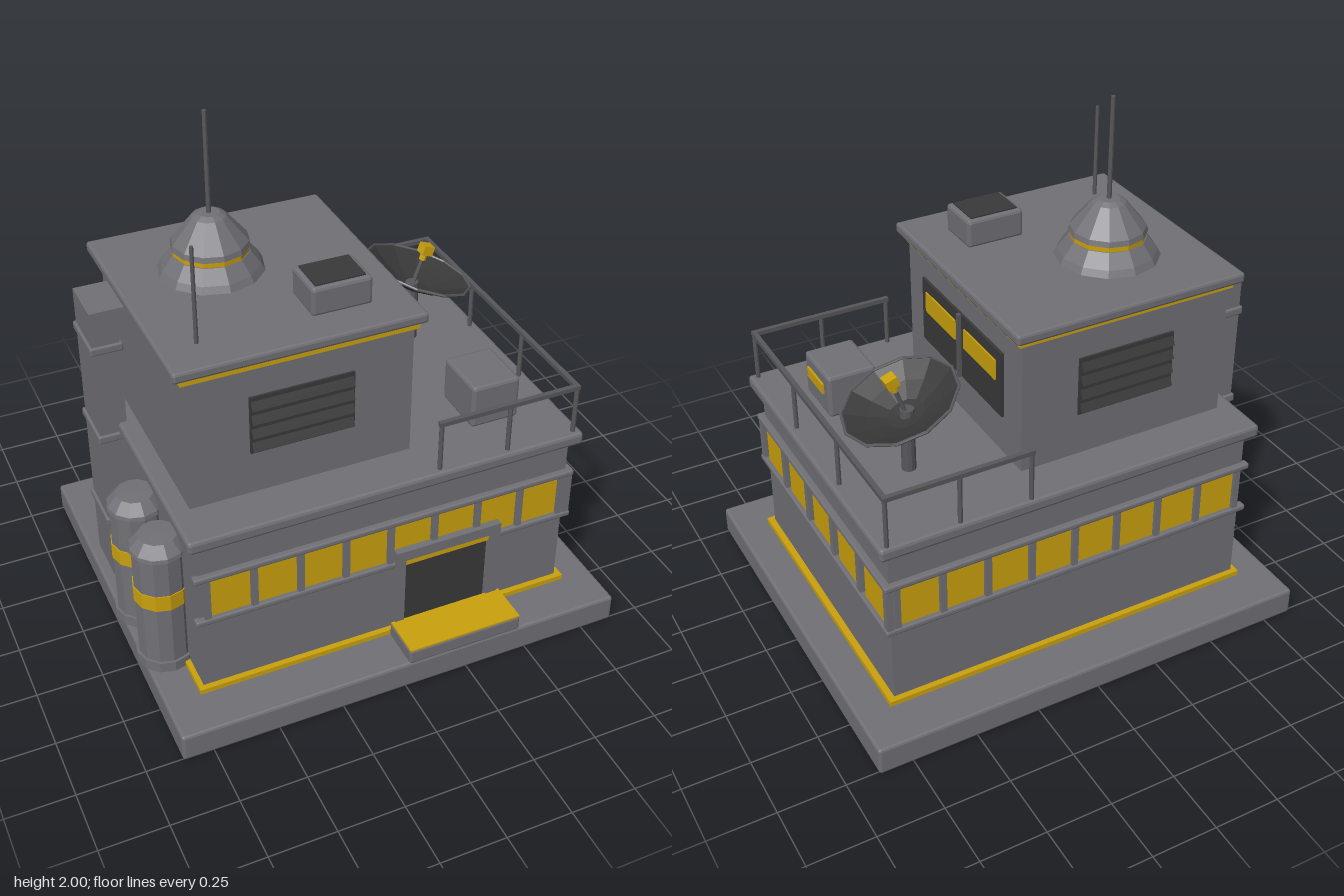
import * as THREE from 'three';
import { RoundedBoxGeometry } from 'three/addons/geometries/RoundedBoxGeometry.js';

const material = (name, color, extra = {}) => {
  const m = new THREE.MeshStandardMaterial({ color, ...extra });
  m.name = name;
  return m;
};

export function createModel() {
  const root = new THREE.Group();
  root.name = 'outpostBuilding';
  const grey = material('concreteGrey', 0x717076, { flatShading: true });
  const metal = material('metalGrey', 0x58585c, { flatShading: true });
  const dark = material('darkPanel', 0x393939, { flatShading: true, side: THREE.DoubleSide });
  const yellow = material('safetyYellow', 0xcaa10d, { flatShading: true });

  const add = (name, geo, mat, x = 0, y = 0, z = 0, parent = root) => {
    const mesh = new THREE.Mesh(geo, mat);
    mesh.name = name;
    mesh.position.set(x, y, z);
    parent.add(mesh);
    return mesh;
  };
  // Box given by its limits, with an optional rounded edge
  const box = (name, mat, x0, x1, y0, y1, z0, z1, r = 0) => {
    const s = [x1 - x0, y1 - y0, z1 - z0];
    const geo = r ? new RoundedBoxGeometry(...s, 1, r) : new THREE.BoxGeometry(...s);
    return add(name, geo, mat, (x0 + x1) / 2, (y0 + y1) / 2, (z0 + z1) / 2);
  };
  const cyl = (name, mat, x, z, y0, y1, r0, r1 = r0, n = 12) =>
    add(name, new THREE.CylinderGeometry(r1, r0, y1 - y0, n), mat, x, (y0 + y1) / 2, z);
  const lathe = (pts, n = 12) => new THREE.LatheGeometry(pts.map(p => new THREE.Vector2(...p)), n);

  // Ground slab, lower storey and terrace
  box('groundSlab', grey, -0.865, 0.88, 0, 0.11, -0.765, 0.76, 0.01);
  box('lowerStorey', grey, -0.715, 0.73, 0.1, 0.78, -0.57, 0.57);
  box('lowerTrim', yellow, -0.735, 0.755, 0.11, 0.13, -0.592, 0.592);
  box('terraceSlab', grey, -0.752, 0.77, 0.77, 0.82, -0.607, 0.605, 0.012);

  // Window bands on the front and back
  for (const s of [-1, 1]) {
    const zBox = (name, mat, x0, x1, y0, y1, a, b, r) =>
      box(name, mat, x0, x1, y0, y1, Math.min(s * a, s * b), Math.max(s * a, s * b), r);
    for (const y of [0.43, 0.622]) zBox('windowRail', grey, -0.735, 0.755, y, y + 0.023, 0.56, 0.593, 0.006);
    for (let i = 0; i < 8; i++) {
      const x = 0.01 + (i - 3.5) * 0.1746;
      zBox('windowPane', yellow, x - 0.073, x + 0.073, 0.455, 0.622, 0.57, 0.577);
    }
    for (let i = 0; i < 9; i++) {
      const x = 0.01 + (i - 4) * 0.1746;
      zBox('windowMullion', grey, x - 0.012, x + 0.012, 0.44, 0.63, 0.565, 0.588);
    }
  }
  // Window band on the left side
  for (const y of [0.43, 0.622]) box('windowRail', grey, 0.72, 0.755, y, y + 0.023, -0.593, 0.593, 0.006);
  for (let i = 0; i < 5; i++) {
    const z = (i - 2) * 0.23;
    box('windowPane', yellow, 0.73, 0.739, 0.455, 0.622, z - 0.077, z + 0.077);
  }
  for (let i = 0; i < 6; i++) {
    const z = (i - 2.5) * 0.23;
    box('windowMullion', grey, 0.725, 0.75, 0.44, 0.63, z - 0.014, z + 0.014);
  }

  // Entrance with door, lintel light and step
  box('doorJamb', grey, 0.025, 0.062, 0.11, 0.505, 0.56, 0.605);
  box('doorJamb', grey, 0.405, 0.45, 0.11, 0.505, 0.56, 0.605);
  box('doorHead', grey, 0.062, 0.405, 0.462, 0.505, 0.56, 0.605);
  box('door', dark, 0.06, 0.407, 0.11, 0.465, 0.56, 0.582);
  box('doorLight', yellow, 0.062, 0.405, 0.435, 0.462, 0.575, 0.598);
  box('doorStep', grey, 0.01, 0.465, 0.11, 0.17, 0.595, 0.763, 0.008);
  box('stepPlate', yellow, 0.012, 0.463, 0.169, 0.176, 0.6, 0.762);

  // Upper storey and roof
  box('upperStorey', grey, -0.682, 0.15, 0.81, 1.37, -0.437, 0.43);
  box('roofTrim', yellow, -0.695, 0.166, 1.335, 1.361, -0.45, 0.444);
  box('roofSlab', grey, -0.723, 0.19, 1.36, 1.4, -0.478, 0.462, 0.01);

  // Louvred vents, front and back
  for (const [z, s] of [[0.43, 1], [-0.437, -1]]) {
    box('ventPanel', dark, -0.457, -0.072, 0.99, 1.22, z - 0.008, z + 0.008);
    for (let i = 0; i < 4; i++) {
      const slat = add('ventSlat', new THREE.BoxGeometry(0.375, 0.038, 0.008), dark,
        -0.265, 1.02 + i * 0.056, z + s * 0.012);
      slat.rotation.x = -s * 0.5;
    }
  }

  // Upper lookout window
  box('lookoutPanel', dark, 0.145, 0.16, 0.975, 1.235, -0.31, 0.305);
  box('lookoutMullion', metal, 0.15, 0.172, 0.975, 1.235, -0.009, 0.009);
  for (const z of [-0.152, 0.152]) box('lookoutGlass', yellow, 0.16, 0.166, 1.11, 1.19, z - 0.118, z + 0.118);

  // Roof dome, masts and hatch
  const dx = -0.373, dz = -0.12;
  add('domeBase', lathe([[0, 0], [0.193, 0], [0.18, 0.025], [0.142, 0.075], [0, 0.075]]), grey, dx, 1.4, dz);
  cyl('domeRing', yellow, dx, dz, 1.475, 1.497, 0.138);
  add('domeCap', lathe([[0, 0], [0.143, 0], [0.138, 0.02], [0.062, 0.113], [0.04, 0.125], [0, 0.125]]),
    grey, dx, 1.495, dz);
  cyl('tallMast', metal, dx, dz, 1.61, 2, 0.009, 0.008, 8);
  cyl('shortMast', metal, -0.588, 0.315, 1.4, 1.76, 0.008, 0.007, 8);
  box('roofHatch', grey, -0.18, 0.045, 1.395, 1.504, 0.148, 0.325, 0.012);
  box('hatchGrille', dark, -0.162, 0.025, 1.5, 1.509, 0.166, 0.307);

  // Exhaust duct with collars
  box('duct', grey, -0.823, -0.72, 0.11, 1.305, -0.335, -0.14);
  box('ductElbow', grey, -0.823, -0.67, 1.232, 1.305, -0.335, -0.14);
  for (const y of [0.38, 0.765, 1.15]) box('ductCollar', grey, -0.833, -0.71, y - 0.016, y + 0.016, -0.345, -0.13, 0.006);

  // Storage tanks
  for (const z of [0.085, 0.335]) {
    cyl('tankFoot', grey, -0.775, z, 0.11, 0.152, 0.11);
    add('tank', lathe([[0, 0], [0.1, 0], [0.1, 0.475], [0.108, 0.48], [0.105, 0.495], [0.07, 0.535], [0, 0.538]]),
      grey, -0.775, 0.14, z);
    cyl('tankBand', yellow, -0.775, z, 0.4, 0.465, 0.104);
  }

  // Terrace railing
  const post = (x, z) => cyl('railPost', metal, x, z, 0.81, 1.015, 0.009, 0.009, 8);
  for (const z of [-0.588, 0.576]) {
    for (const x of [0.195, 0.467, 0.738]) post(x, z);
    box('railBar', metal, 0.185, 0.747, 1.005, 1.022, z - 0.009, z + 0.009);
  }
  for (const z of [-0.2, 0.188]) post(0.738, z);
  box('railBar', metal, 0.729, 0.747, 1.005, 1.022, -0.588, 0.576);

  // Cooling unit
  box('coolingUnit', grey, 0.413, 0.605, 0.815, 0.988, 0.187, 0.41, 0.012);
  box('coolingLabel', yellow, 0.604, 0.613, 0.9, 0.942, 0.232, 0.373);

  // Satellite dish, tilted towards +x
  cyl('dishPost', metal, 0.485, -0.23, 0.81, 1.07, 0.026);
  const dish = new THREE.Group();
  dish.name = 'dish';
  dish.position.set(0.512, 1.115, -0.233);
  dish.rotation.z = -0.35;
  root.add(dish);
  add('dishBowl', lathe([[0.001, -0.075], [0.07, -0.066], [0.14, -0.038], [0.215, 0]]), dark, 0, 0, 0, dish);
  const rim = add('dishRim', new THREE.TorusGeometry(0.214, 0.006, 6, 12), metal, 0, 0, 0, dish);
  rim.rotation.set(Math.PI / 2, 0, Math.PI / 2);
  add('feedArm', new THREE.CylinderGeometry(0.008, 0.008, 0.15, 8), metal, 0, 0, 0, dish);
  add('feedHorn', new THREE.BoxGeometry(0.045, 0.038, 0.045), yellow, 0, 0.09, 0, dish);
  add('feedCollar', new THREE.CylinderGeometry(0.014, 0.014, 0.03, 8), yellow, 0, 0.06, 0, dish);

  return root;
}
